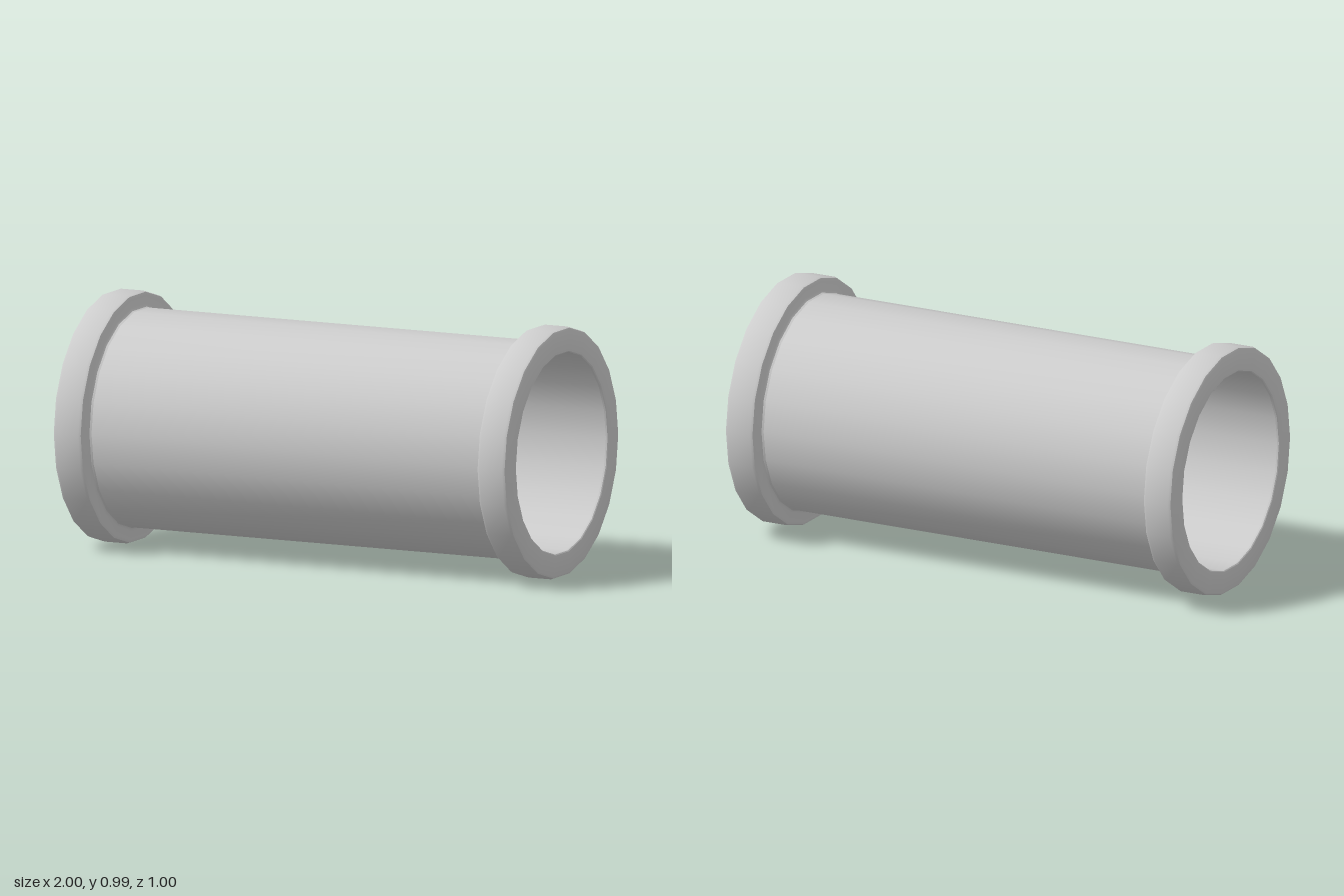
import * as THREE from 'three';
import { toCreasedNormals } from 'three/addons/utils/BufferGeometryUtils.js';

const SIDES = 22, CENTER_Y = 0.498;
const BORE = 0.4, BODY = 0.435, RIM = 0.5;
const material = new THREE.MeshStandardMaterial({ color: 0xcccccc });

// Spin a profile of [x, radius] points about the x axis
function spin(name, profile) {
  const points = profile.map(([x, r]) => new THREE.Vector2(r, x));
  const geometry = new THREE.LatheGeometry(points, SIDES).rotateZ(-Math.PI / 2);
  const mesh = new THREE.Mesh(toCreasedNormals(geometry, 0.62), material);
  mesh.name = name;
  return mesh;
}

export function createModel() {
  const group = new THREE.Group();
  group.name = 'flangedPipe';

  // Straight wall between the rims, outside and inside
  group.add(spin('pipeWall', [[-0.86, BODY], [0.86, BODY]]));
  group.add(spin('pipeBore', [[0.99, BORE], [-0.99, BORE]]));

  // Raised rim: small fillet at the wall, softened corners, flat end face
  const rim = [
    [0.86, BODY], [0.868, BODY + 0.003], [0.873, BODY + 0.012],
    [0.873, RIM - 0.015], [0.877, RIM - 0.004], [0.887, RIM],
    [0.986, RIM], [0.996, RIM - 0.004], [1, RIM - 0.012],
    [1, BORE + 0.005], [0.997, BORE + 0.001], [0.99, BORE],
  ];
  group.add(spin('leftRim', rim));
  group.add(spin('rightRim', rim.map(([x, r]) => [-x, r]).reverse()));

  group.position.y = CENTER_Y;
  return group;
}
